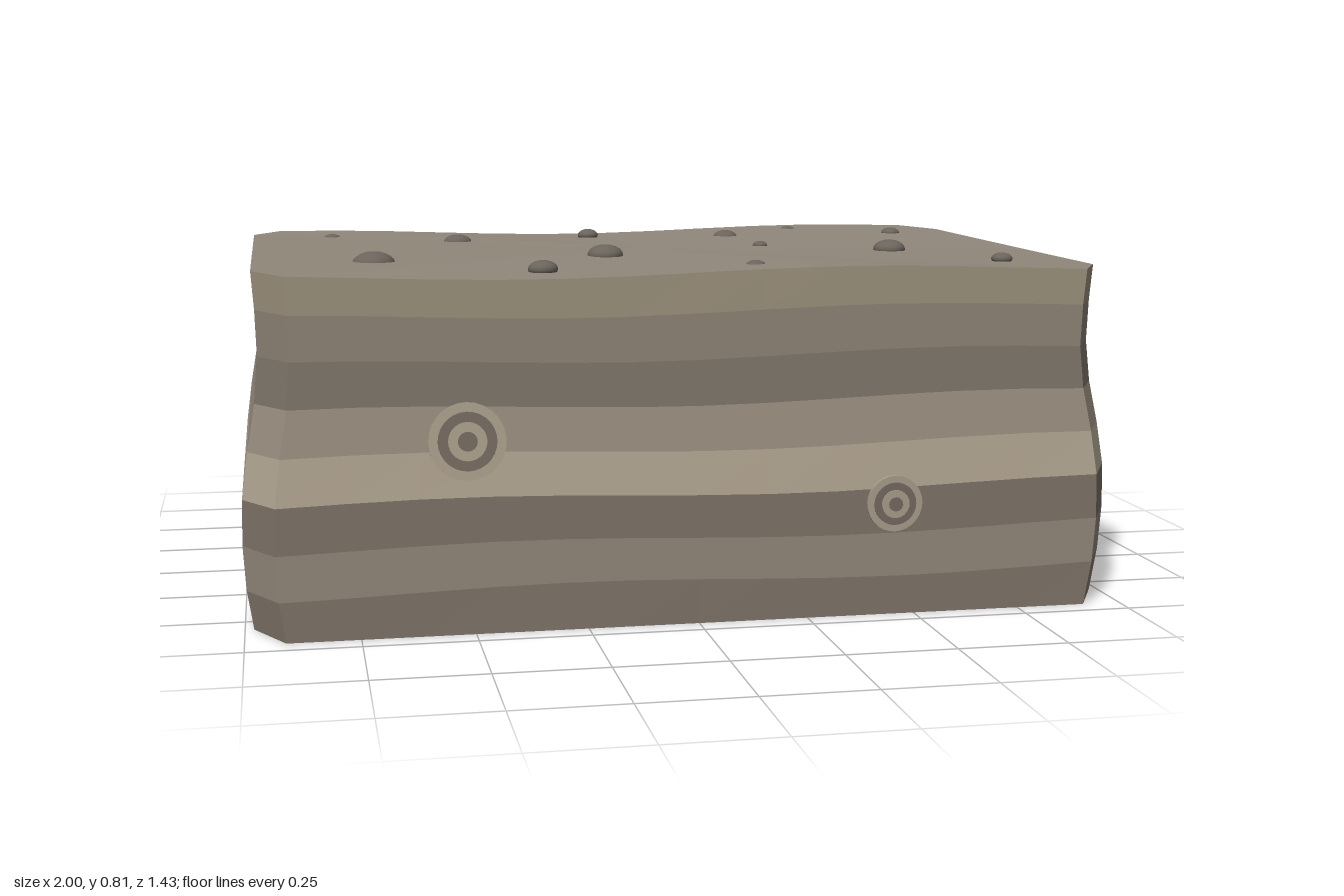
import * as THREE from 'three';

const LAYERS = 8;
const COLORS = [0x857a6e, 0x958a7d, 0x7d7368, 0xb0a490, 0x988d7e, 0x7d7469, 0x8f8577, 0xa09580];
// girth of the block at each layer boundary, bottom to top
const GIRTH = [0.98, 0.994, 1, 0.998, 0.984, 0.966, 0.957, 0.96, 0.966];

const mat = (color) => new THREE.MeshStandardMaterial({ color, flatShading: true });

function addMesh(parent, name, geometry, material) {
  const mesh = new THREE.Mesh(geometry, material);
  mesh.name = name;
  parent.add(mesh);
  return mesh;
}

// Chamfered rectangle, each edge subdivided, starting at the front left corner
function outline() {
  const corners = [[-0.93, 0.71], [0.93, 0.71], [1, 0.58], [1, -0.58], [0.93, -0.71], [-0.93, -0.71], [-1, -0.58], [-1, 0.58]];
  const steps = [12, 1, 8, 1, 12, 1, 8, 1];
  const points = [];
  corners.forEach(([x, z], i) => {
    const [nx, nz] = corners[(i + 1) % 8];
    for (let s = 0; s < steps[i]; s++) {
      const t = s / steps[i];
      points.push([x + (nx - x) * t, z + (nz - z) * t]);
    }
  });
  return points;
}

// Gently wavy loop at layer boundary j
function loop(points, j) {
  return points.map(([x, z]) => {
    const wave = j ? 0.009 * Math.sin(4.2 * x - 0.5 * (LAYERS - j) + 0.8 * (z - 0.7)) : 0;
    const y = j * 0.1 - (j === LAYERS ? 0.014 : 0) + wave;
    return new THREE.Vector3(x * GIRTH[j], y, z * GIRTH[j]);
  });
}

function band(low, high) {
  const tris = [];
  low.forEach((a, i) => {
    const k = (i + 1) % low.length;
    tris.push(a, low[k], high[k], a, high[k], high[i]);
  });
  return new THREE.BufferGeometry().setFromPoints(tris);
}

function cap(ring, y, up) {
  const centre = new THREE.Vector3(0, y, 0);
  const tris = [];
  ring.forEach((a, i) => {
    const b = ring[(i + 1) % ring.length];
    tris.push(centre, up ? a : b, up ? b : a);
  });
  return new THREE.BufferGeometry().setFromPoints(tris);
}

// Concentric discs, stacked outward along the local z axis
function ringMark(name, radius) {
  const group = new THREE.Group();
  group.name = name;
  [1, 0.76, 0.5, 0.25].forEach((f, i) => {
    const depth = 0.02 + i * 0.003;
    const geometry = new THREE.CylinderGeometry(radius * f, radius * f, depth, 28);
    geometry.rotateX(Math.PI / 2).translate(0, 0, depth / 2 - 0.014);
    addMesh(group, 'ring' + i, geometry, mat(i % 2 ? 0x746a60 : 0xa99d8a));
  });
  return group;
}

export function createModel() {
  const model = new THREE.Group();
  model.name = 'layeredRock';

  // Strata
  const points = outline();
  const loops = GIRTH.map((_, j) => loop(points, j));
  const strata = new THREE.Group();
  strata.name = 'strata';
  model.add(strata);
  COLORS.forEach((color, j) => addMesh(strata, 'layer' + j, band(loops[j], loops[j + 1]), mat(color)));
  addMesh(model, 'topSurface', cap(loops[LAYERS], 0.786, true), mat(0x91887b));
  addMesh(model, 'underside', cap(loops[0], 0, false), mat(0x6e665c));
  model.traverse((o) => o.isMesh && o.geometry.computeVertexNormals());

  // Pebbles: x, z, radius
  const pebbles = new THREE.Group();
  pebbles.name = 'pebbles';
  model.add(pebbles);
  const stone = new THREE.MeshStandardMaterial({ color: 0x6b645c });
  [
    [-0.76, -0.47, 0.024], [-0.44, -0.29, 0.037], [-0.06, -0.505, 0.028], [0.295, -0.355, 0.033],
    [0.525, -0.565, 0.023], [0.79, -0.44, 0.025], [0.318, -0.055, 0.019], [0.61, 0.118, 0.04],
    [-0.125, 0.175, 0.044], [-0.69, 0.333, 0.05], [-0.325, 0.53, 0.034], [0.16, 0.545, 0.024], [0.782, 0.453, 0.025],
  ].forEach(([x, z, r], i) => {
    const pebble = addMesh(pebbles, 'pebble' + i, new THREE.SphereGeometry(r, 16, 10), stone);
    pebble.scale.y = 0.58;
    pebble.position.set(x, 0.786, z);
  });

  // Fossil ring marks on the front and the left side
  const largeMark = ringMark('frontLargeMark', 0.085);
  largeMark.position.set(-0.515, 0.43, 0.696);
  largeMark.rotation.x = -0.12;
  const smallMark = ringMark('frontSmallMark', 0.064);
  smallMark.position.set(0.445, 0.26, 0.71);
  const sideMark = ringMark('sideMark', 0.08);
  sideMark.position.set(0.963, 0.553, -0.235);
  sideMark.rotation.set(-0.12, Math.PI / 2, 0, 'YXZ');
  model.add(largeMark, smallMark, sideMark);

  return model;
}
